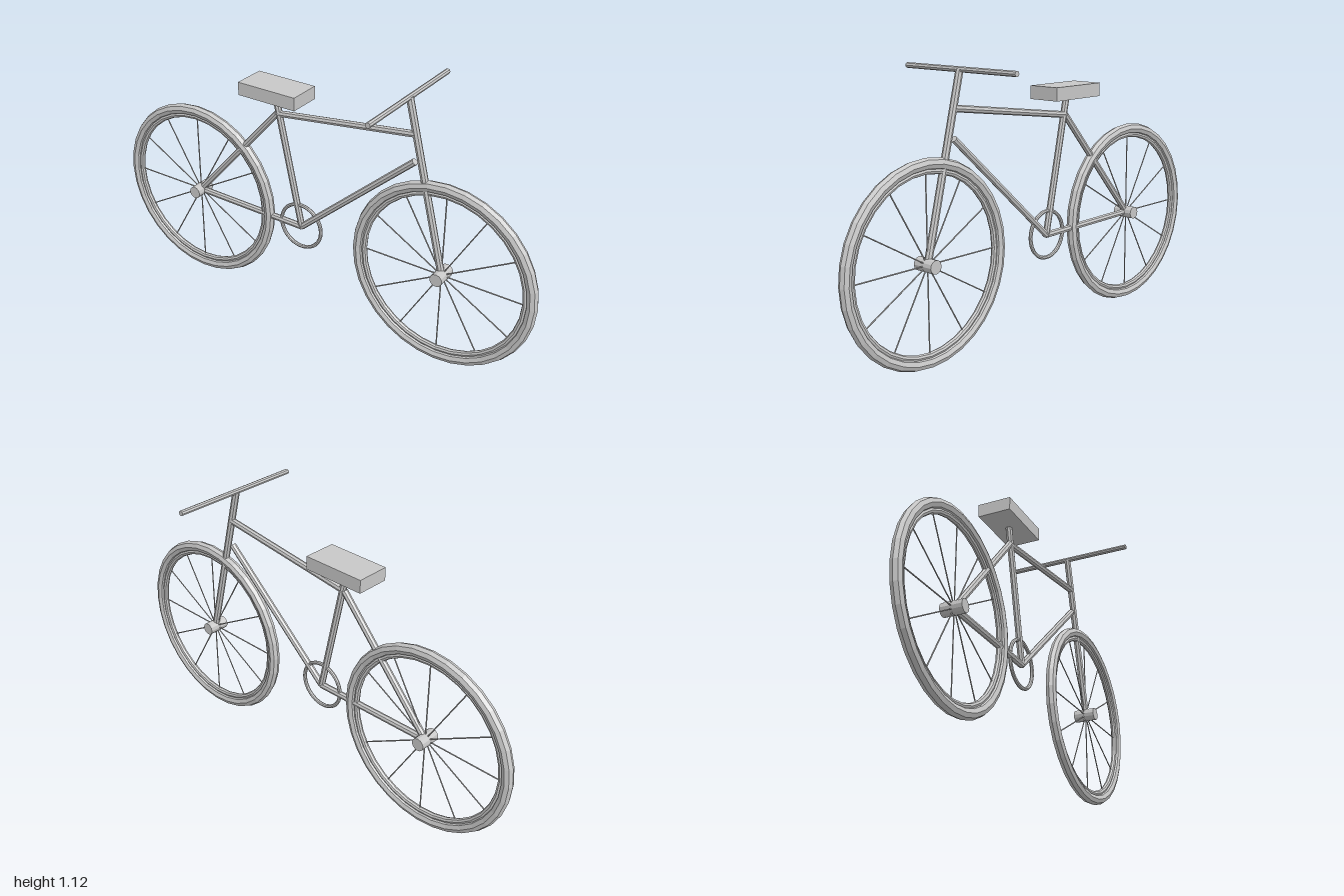
import * as THREE from 'three';

export function createModel() {
  const bike = new THREE.Group();
  bike.name = 'bicycle';
  const grey = new THREE.MeshStandardMaterial({ color: 0xc8c8c8, flatShading: true });
  grey.name = 'light grey';

  const add = (parent, name, geometry, x = 0, y = 0, z = 0) => {
    const mesh = new THREE.Mesh(geometry, grey);
    mesh.name = name;
    mesh.position.set(x, y, z);
    parent.add(mesh);
    return mesh;
  };

  // Straight round tube between two points
  const tube = (parent, name, a, b, radius, sides = 8) => {
    const from = new THREE.Vector3(...a), to = new THREE.Vector3(...b);
    const dir = to.clone().sub(from);
    const mesh = add(parent, name, new THREE.CylinderGeometry(radius, radius, dir.length(), sides));
    mesh.position.copy(from).add(to).multiplyScalar(0.5);
    mesh.quaternion.setFromUnitVectors(new THREE.Vector3(0, 1, 0), dir.normalize());
    return mesh;
  };

  // Wheels: tyre, rim, hub and twelve spokes
  const axleY = 0.403;
  const makeWheel = (name, x) => {
    const wheel = new THREE.Group();
    wheel.name = name;
    wheel.position.set(x, axleY, 0);
    add(wheel, 'tyre', new THREE.TorusGeometry(0.377, 0.023, 8, 32));
    add(wheel, 'rim', new THREE.TorusGeometry(0.35, 0.012, 8, 32));
    tube(wheel, 'hub', [0, 0, -0.046], [0, 0, 0.046], 0.027, 12);
    for (let i = 0; i < 12; i++) {
      const a = (i * Math.PI) / 6, c = Math.cos(a), s = Math.sin(a);
      tube(wheel, 'spoke', [c * 0.015, s * 0.015, 0], [c * 0.345, s * 0.345, 0], 0.0027, 6);
    }
    bike.add(wheel);
  };
  makeWheel('rearWheel', -0.6);
  makeWheel('frontWheel', 0.6);

  // Frame joints
  const rearAxle = [-0.6, axleY, 0];
  const frontAxle = [0.6, axleY, 0];
  const crank = [-0.057, 0.395, 0];
  const seatJoint = [-0.173, 0.884, 0];
  const barClamp = [0.423, 1.108, 0];

  // Frame tubes
  tube(bike, 'topTube', seatJoint, [0.458, 0.968, 0], 0.014);
  tube(bike, 'downTube', crank, [0.458, 0.855, 0], 0.014);
  tube(bike, 'seatTube', crank, [-0.18, 0.96, 0], 0.014);
  tube(bike, 'seatStay', rearAxle, seatJoint, 0.014);
  tube(bike, 'chainStay', rearAxle, crank, 0.014);
  tube(bike, 'forkAndStem', frontAxle, barClamp, 0.015);

  // Handlebar, chainring and saddle
  tube(bike, 'handlebar', [0.423, 1.108, -0.288], [0.423, 1.108, 0.288], 0.011);
  add(bike, 'chainring', new THREE.TorusGeometry(0.099, 0.008, 8, 32), -0.06, 0.397, 0);
  add(bike, 'saddle', new THREE.BoxGeometry(0.272, 0.055, 0.14), -0.176, 0.982, 0);

  return bike;
}
